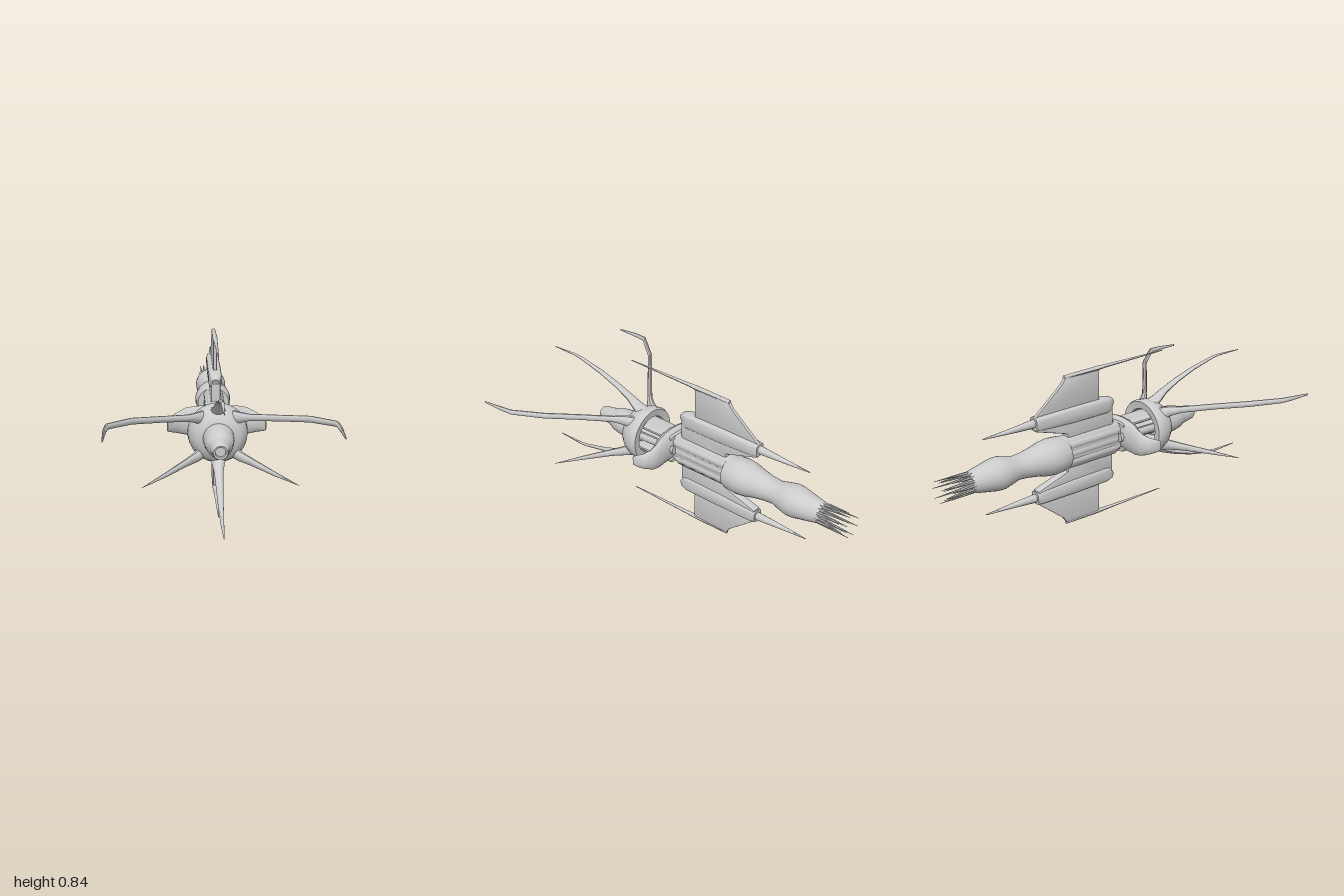
import * as THREE from 'three';
import { toCreasedNormals } from 'three/addons/utils/BufferGeometryUtils.js';

const MID = 0.4215; // height of the ship's long axis
const hull = new THREE.MeshStandardMaterial({ color: 0xcccccc });
hull.name = 'hull grey';

function mesh(name, geometry, parent, crease = 0.7) {
  const m = new THREE.Mesh(toCreasedNormals(geometry, crease), hull);
  m.name = name;
  parent.add(m);
  return m;
}

// Loft through stations [x, y, z, halfWidth, halfHeight]; power < 1 squares the section
function sweep(stations, { sides = 10, power = 1 } = {}) {
  const centres = stations.map(s => new THREE.Vector3(s[0], s[1], s[2]));
  const up = new THREE.Vector3(0, 1, 0);
  const pos = [], index = [], n = stations.length;
  const bend = v => Math.sign(v) * Math.abs(v) ** power;
  stations.forEach((s, i) => {
    const t = centres[Math.min(i + 1, n - 1)].clone().sub(centres[Math.max(i - 1, 0)]).normalize();
    const side = up.clone().cross(t).normalize();
    const lift = t.clone().cross(side);
    for (let k = 0; k < sides; k++) {
      const a = (k / sides) * Math.PI * 2;
      const p = centres[i].clone()
        .addScaledVector(side, s[3] * bend(Math.cos(a)))
        .addScaledVector(lift, s[4] * bend(Math.sin(a)));
      pos.push(p.x, p.y, p.z);
    }
  });
  for (let i = 0; i < n - 1; i++) {
    for (let k = 0; k < sides; k++) {
      const a = i * sides + k, b = i * sides + (k + 1) % sides;
      index.push(a, b, a + sides, b, b + sides, a + sides);
    }
  }
  // end caps
  const first = pos.length / 3, last = first + 1, o = (n - 1) * sides;
  pos.push(...centres[0].toArray(), ...centres[n - 1].toArray());
  for (let k = 0; k < sides; k++) {
    const j = (k + 1) % sides;
    index.push(first, j, k, last, o + k, o + j);
  }
  const g = new THREE.BufferGeometry();
  g.setAttribute('position', new THREE.Float32BufferAttribute(pos, 3));
  g.setIndex(index);
  return g;
}

// Turned part along z from [radius, z] pairs, outside listed back to front
function turned(profile, segments = 28) {
  const g = new THREE.LatheGeometry(profile.map(p => new THREE.Vector2(p[0], p[1])), segments);
  return g.rotateX(Math.PI / 2);
}

// Plate in the z-y plane, centred on x = 0
function plate(points, thickness, bevel) {
  const shape = new THREE.Shape(points.map(([z, y]) => new THREE.Vector2(-z, y)));
  const g = new THREE.ExtrudeGeometry(shape, {
    depth: thickness - 2 * bevel, bevelSize: bevel, bevelThickness: bevel, bevelOffset: -bevel, bevelSegments: 2,
  });
  return g.translate(0, 0, -thickness / 2 + bevel).rotateY(Math.PI / 2);
}

// Pod, pylon, fin, rail and rear spike; y measured from the ship's axis
function createWing(name) {
  const wing = new THREE.Group();
  wing.name = name;
  mesh('pylon', plate([[0.06, 0.06], [0.06, 0.18], [-0.43, 0.2], [-0.43, 0.165], [-0.24, 0.105], [-0.24, 0.06]], 0.05, 0.01), wing);
  mesh('pod', sweep([
    [0, 0.19, 0.064, 0.018, 0.024], [0, 0.195, 0.055, 0.027, 0.036], [0, 0.198, 0.02, 0.035, 0.043],
    [0, 0.2, -0.2, 0.036, 0.042], [0, 0.204, -0.4, 0.034, 0.037], [0, 0.205, -0.435, 0.03, 0.033],
  ], { sides: 24, power: 0.5 }), wing);
  mesh('podSpike', sweep([
    [0, 0.207, -0.42, 0.022, 0.024], [0, 0.206, -0.46, 0.02, 0.022], [0, 0.204, -0.6, 0.011, 0.012], [0, 0.204, -0.735, 0.002, 0.003],
  ]), wing);
  mesh('fin', plate([[-0.02, 0.22], [-0.02, 0.41], [-0.235, 0.41], [-0.26, 0.375], [-0.432, 0.235], [-0.43, 0.22]], 0.02, 0.004), wing);
  mesh('finRail', sweep([
    [0, 0.408, -0.24, 0.011, 0.01], [0, 0.409, -0.02, 0.014, 0.012], [0, 0.41, 0.02, 0.011, 0.009],
    [0, 0.41, 0.2, 0.007, 0.006], [0, 0.41, 0.42, 0.002, 0.002],
  ]), wing);
  return wing;
}

export function createModel() {
  const ship = new THREE.Group();
  ship.name = 'ship';
  const body = new THREE.Group();
  body.name = 'body';
  body.position.y = MID;
  ship.add(body);

  // Stepped nose
  mesh('nose', turned([
    [0, 0.33], [0.06, 0.34], [0.078, 0.4], [0.077, 0.44], [0.071, 0.49], [0.064, 0.53], [0.053, 0.548],
    [0.049, 0.565], [0.038, 0.635], [0.034, 0.643], [0.026, 0.64], [0.024, 0.625], [0, 0.625],
  ]), body);

  // Hollow head ring, flared to the back
  mesh('headRing', turned([
    [0.105, 0.285], [0.145, 0.28], [0.152, 0.295], [0.148, 0.335], [0.132, 0.375], [0.108, 0.405],
    [0.076, 0.415], [0.074, 0.385], [0.09, 0.34], [0.105, 0.285],
  ], 36), body, 1);

  // Open neck: core, side rods and broad bars above and below
  mesh('neckCore', turned([[0, 0.05], [0.045, 0.05], [0.036, 0.2], [0.05, 0.35], [0, 0.35]], 16), body);
  for (const s of [-1, 1]) {
    mesh('neckRod', sweep([[s * 0.055, 0.01, 0.08, 0.018, 0.024], [s * 0.055, 0.01, 0.2, 0.018, 0.024], [s * 0.06, 0.01, 0.35, 0.018, 0.024]]), body);
    mesh('neckBar', sweep([[0, s * 0.068, 0.1, 0.06, 0.012], [0, s * 0.068, 0.2, 0.066, 0.012], [0, s * 0.068, 0.35, 0.066, 0.012]], { sides: 16, power: 0.7 }), body);
  }

  // Crescent blade across the neck
  const half = [
    [0.05, 0.008, 0.14, 0.045, 0.086], [0.1, 0.008, 0.132, 0.038, 0.082], [0.15, 0.004, 0.12, 0.026, 0.074],
    [0.19, 0, 0.125, 0.026, 0.06], [0.22, 0, 0.145, 0.021, 0.047], [0.243, 0, 0.175, 0.012, 0.036], [0.252, 0, 0.197, 0.003, 0.025],
  ];
  mesh('crescentBlade', sweep([
    ...half.map(([x, ...rest]) => [-x, ...rest]).reverse(), [0, 0.008, 0.142, 0.045, 0.088], ...half,
  ], { sides: 16 }), body);

  // Midsection with shallow lengthwise side ribs
  mesh('midsection', sweep([
    [0, 0, -0.27, 0.049, 0.09], [0, 0, 0.07, 0.049, 0.092], [0, 0, 0.1, 0.04, 0.08],
  ], { sides: 28, power: 0.65 }), body);
  for (const sx of [-1, 1]) {
    for (const y of [-0.045, 0, 0.045]) {
      mesh('sideRib', sweep([
        [sx * 0.03, y, -0.27, 0.023, 0.026], [sx * 0.03, y, 0.07, 0.023, 0.026], [sx * 0.027, y, 0.1, 0.014, 0.016],
      ], { sides: 14 }), body);
    }
  }

  // Swelling tail with a crown of spikes
  mesh('tail', turned([
    [0, -0.8], [0.046, -0.81], [0.052, -0.83], [0.06, -0.8], [0.072, -0.74], [0.084, -0.68], [0.085, -0.645], [0.075, -0.6],
    [0.063, -0.555], [0.067, -0.5], [0.077, -0.44], [0.092, -0.38], [0.097, -0.33], [0.092, -0.27], [0.084, -0.25], [0, -0.25],
  ]), body, 1);
  for (let i = 0; i < 14; i++) {
    const a = i / 14 * Math.PI * 2, x = Math.cos(a), y = Math.sin(a);
    const tip = i % 2 ? -0.95 : -1;
    mesh('tailSpike', sweep([
      [x * 0.046, y * 0.046, -0.79, 0.01, 0.01], [x * 0.051, y * 0.051, -0.87, 0.006, 0.006], [x * 0.056, y * 0.056, tip, 0.001, 0.001],
    ], { sides: 6 }), body);
  }

  // Upper and lower wings
  body.add(createWing('upperWing'));
  const lower = createWing('lowerWing');
  lower.rotation.z = Math.PI;
  body.add(lower);

  // Vertical feelers, above and below the ring
  for (const s of [1, -1]) {
    mesh(s > 0 ? 'upperFeeler' : 'lowerFeeler', sweep([
      [0, s * 0.115, 0.33, 0.045, 0.03], [0, s * 0.14, 0.385, 0.032, 0.024], [0, s * 0.175, 0.44, 0.022, 0.017],
      [0, s * 0.215, 0.53, 0.018, 0.012], [0, s * 0.255, 0.65, 0.014, 0.01], [0, s * 0.289, 0.8, 0.009, 0.007],
      [0, s * 0.293, 0.84, 0.008, 0.006], [0, s * 0.29, 1, 0.002, 0.002],
    ]), body);
  }

  // Jointed side arms and straight lower spikes
  for (const s of [1, -1]) {
    mesh('sideArm', sweep([
      [s * 0.075, 0.085, 0.34, 0.03, 0.04], [s * 0.105, 0.1, 0.385, 0.021, 0.028], [s * 0.15, 0.112, 0.43, 0.013, 0.018],
      [s * 0.28, 0.141, 0.545, 0.012, 0.016], [s * 0.42, 0.169, 0.665, 0.012, 0.016],
      [s * 0.525, 0.186, 0.805, 0.011, 0.014], [s * 0.532, 0.184, 0.87, 0.009, 0.012], [s * 0.535, 0.177, 1, 0.003, 0.005],
    ]), body);
    mesh('lowerSpike', sweep([
      [s * 0.075, -0.08, 0.34, 0.03, 0.04], [s * 0.105, -0.098, 0.39, 0.02, 0.028],
      [s * 0.16, -0.11, 0.45, 0.012, 0.02], [s * 0.26, -0.135, 0.555, 0.008, 0.012], [s * 0.375, -0.161, 0.665, 0.001, 0.001],
    ]), body);
  }
  return ship;
}
